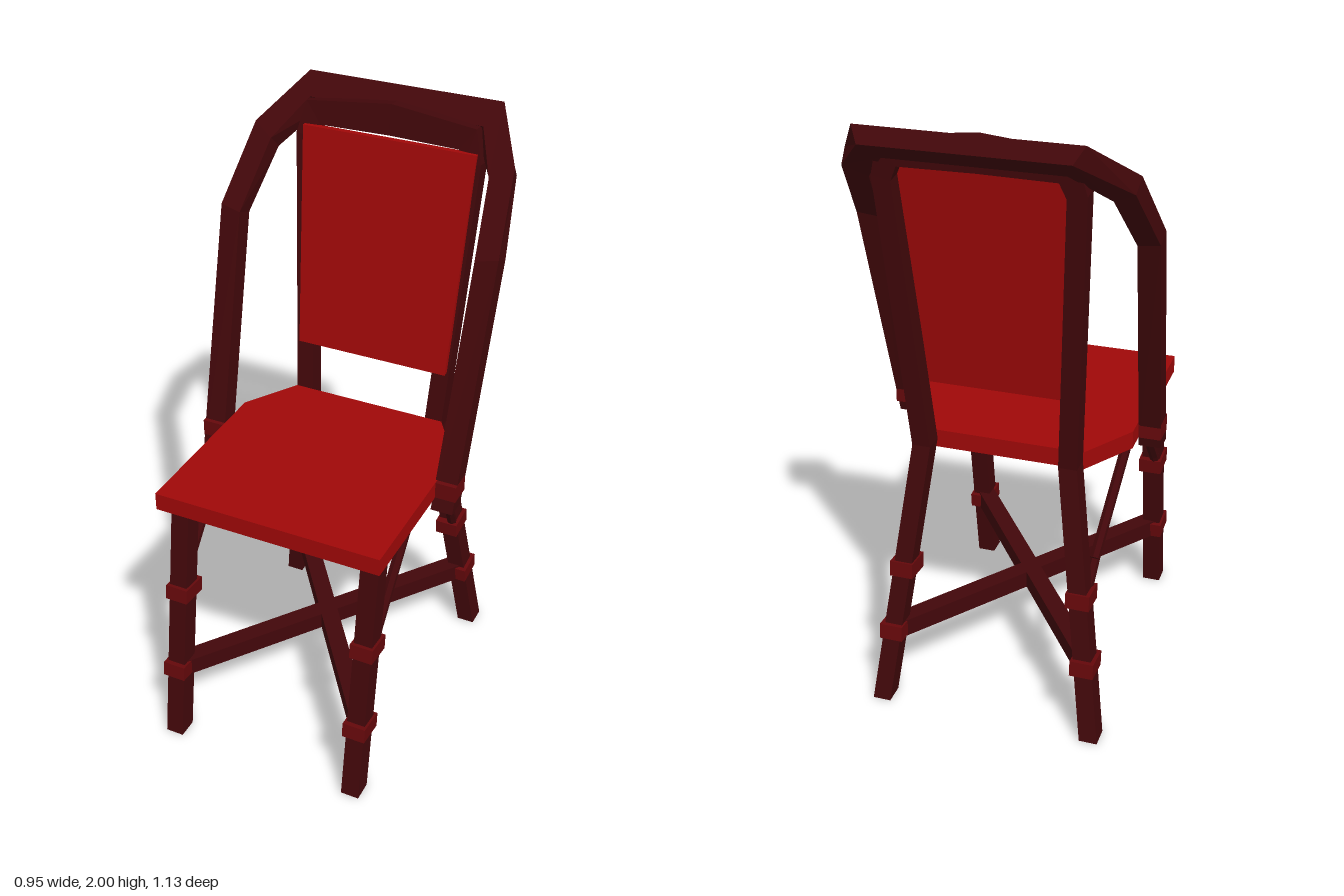
import * as THREE from 'three';

const mat = (color) => new THREE.MeshStandardMaterial({ color, flatShading: true });
const V = (p) => new THREE.Vector3(...p);

// Four-sided beam through nodes [centre, half-width vector, half-depth vector];
// depth x width must point along the path.
function beamGeometry(nodes) {
  const rings = nodes.map(([c, o, n]) =>
    [[1, 1], [1, -1], [-1, -1], [-1, 1]].map(([s, t]) =>
      V(c).addScaledVector(V(o), s).addScaledVector(V(n), t)));
  const pos = [];
  const quad = (a, b, c, d) => [a, b, c, a, c, d].forEach((p) => pos.push(p.x, p.y, p.z));
  for (let i = 0; i < rings.length - 1; i++) {
    for (let j = 0; j < 4; j++) {
      const k = (j + 1) % 4;
      quad(rings[i][j], rings[i][k], rings[i + 1][k], rings[i + 1][j]);
    }
  }
  const [s, e] = [rings[0], rings[rings.length - 1]];
  quad(s[3], s[2], s[1], s[0]);
  quad(e[0], e[1], e[2], e[3]);
  const g = new THREE.BufferGeometry();
  g.setAttribute('position', new THREE.Float32BufferAttribute(pos, 3));
  g.computeVertexNormals();
  return g;
}

// Continue a half path on the other side of x = 0.
const flip = ([x, y, z]) => [-x, y, z];
const mirrorPath = (half) => [
  ...half,
  ...half.filter((n) => n[0][0] > 0).reverse().map(([c, o, n]) => [flip(c), flip(o), flip(n)]),
];

export function createModel() {
  const model = new THREE.Group();
  const red = mat(0xa00808);
  const dark = mat(0x42070a);
  const trim = mat(0x66080b);

  const add = (name, geometry, material, p = [0, 0, 0]) => {
    const m = new THREE.Mesh(geometry, material);
    m.name = name;
    m.position.set(...p);
    model.add(m);
    return m;
  };
  const rod = (name, a, b, radius, sides, material) => {
    const d = V(b).sub(V(a));
    const m = add(name, new THREE.CylinderGeometry(radius, radius, d.length(), sides), material);
    m.position.copy(V(a)).addScaledVector(d, 0.5);
    m.quaternion.setFromUnitVectors(new THREE.Vector3(0, 1, 0), d.normalize());
  };

  // Seat board, tapered at the back
  const outline = [[-0.383, -0.49], [0.388, -0.49], [0.388, 0.1], [0.272, 0.28], [-0.272, 0.28], [-0.383, 0.1]];
  const seat = new THREE.ExtrudeGeometry(
    new THREE.Shape(outline.map(([x, y]) => new THREE.Vector2(x, y))),
    { depth: 0.06, bevelEnabled: false });
  seat.rotateX(-Math.PI / 2);
  add('seat', seat, red, [0, 0.89, 0]);

  // Rear legs, posts and inner top rail in one bent frame
  add('backFrame', beamGeometry(mirrorPath([
    [[0.36, 0, -0.445], [0.03, 0, 0], [0, 0, 0.035]],
    [[0.24, 0.92, -0.312], [0.03, 0, 0], [0, 0, 0.033]],
    [[0.288, 1.83, -0.423], [0.03, 0.006, 0], [0, 0.004, 0.029]],
    [[0.264, 1.905, -0.437], [0.026, 0.036, -0.004], [0, 0.003, 0.026]],
    [[0, 1.922, -0.441], [0, 0.05, -0.006], [0, 0.003, 0.024]],
  ])), dark);

  // Outer hoop, sweeping from the seat sides over the back
  add('outerHoop', beamGeometry(mirrorPath([
    [[0.417, 0.85, 0.033], [0.037, 0, 0], [0, 0, 0.035]],
    [[0.438, 1.635, -0.186], [0.036, 0.006, -0.006], [0, 0.012, 0.032]],
    [[0.404, 1.834, -0.354], [0.035, 0.018, -0.016], [0.003, 0.021, 0.021]],
    [[0.302, 1.948, -0.508], [0.018, 0.029, -0.04], [0.014, 0.023, 0.017]],
  ])), dark);

  // Back panel in front of the posts
  add('backPanel', beamGeometry([
    [[0.006, 1.13, -0.293], [0.268, 0, 0], [0, 0, 0.01]],
    [[0.006, 1.87, -0.399], [0.298, 0, 0], [0, 0, 0.01]],
  ]), red);

  for (const s of [1, -1]) {
    // Front leg
    add('frontLeg', beamGeometry([
      [[s * 0.332, 0, 0.533], [0.031, 0, 0], [0, 0, 0.034]],
      [[s * 0.332, 0.885, 0.397], [0.031, 0, 0], [0, 0, 0.034]],
    ]), dark);

    // Binding collars on the legs
    for (const [x, y, z, tilt] of [
      [0.332, 0.257, 0.493, -0.1], [0.332, 0.553, 0.443, -0.1],
      [0.326, 0.257, -0.407, 0.1], [0.297, 0.483, -0.366, 0.1]]) {
      add('legCollar', new THREE.BoxGeometry(0.078, 0.052, 0.1), trim, [s * x, y, z]).rotation.x = tilt;
    }
    // Collar fixing the hoop to the seat
    add('hoopCollar', new THREE.BoxGeometry(0.082, 0.058, 0.082), trim, [s * 0.416, 0.92, 0.015]);

    // Bent brace rod under the seat, from front collar to rear collar
    const path = [
      [0.345, 0.54, 0.43], [0.345, 0.6, 0.393], [0.345, 0.876, 0.155], [0.345, 0.876, 0.01],
      [0.318, 0.58, -0.29], [0.31, 0.49, -0.345],
    ].map(([x, y, z]) => [s * x, y, z]);
    for (let i = 0; i < path.length - 1; i++) rod('braceRod', path[i], path[i + 1], 0.017, 6, dark);

    // Diagonal stretcher, crossing its twin
    const width = [0.024, 0, -0.018 * s];
    add('crossStretcher', beamGeometry([
      [[s * 0.33, 0.255, 0.49], width, [0, 0.03, 0]],
      [[s * -0.325, 0.255, -0.405], width, [0, 0.03, 0]],
    ]), dark);
  }
  return model;
}
